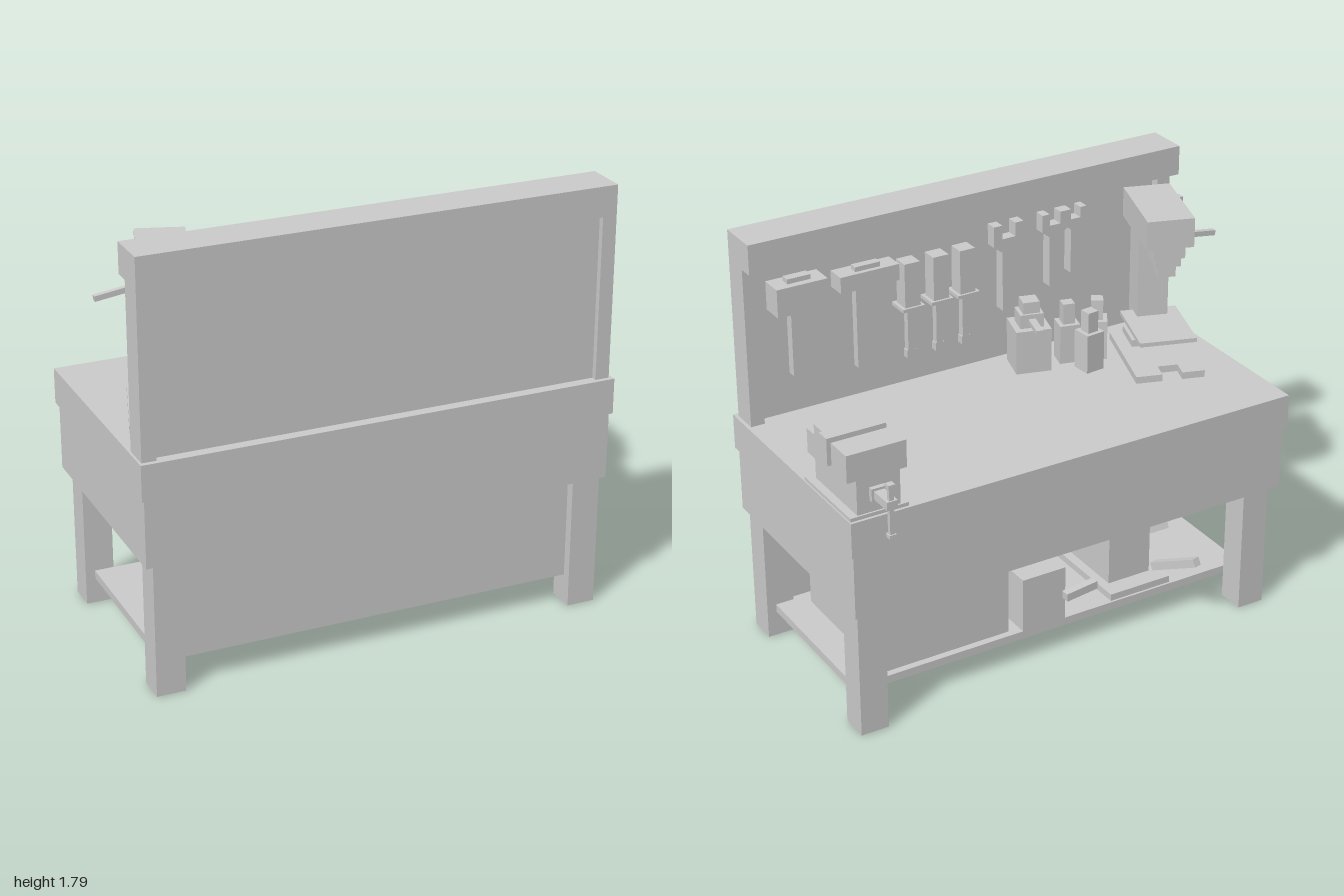
import * as THREE from 'three';

const MAT = new THREE.MeshStandardMaterial({ color: 0xcccccc, flatShading: true });

function add(parent, name, geometry) {
  const mesh = new THREE.Mesh(geometry, MAT);
  mesh.name = name;
  parent.add(mesh);
  return mesh;
}

// Box given by its limits on each axis
function box(parent, name, [x0, x1], [y0, y1], [z0, z1]) {
  const mesh = add(parent, name, new THREE.BoxGeometry(x1 - x0, y1 - y0, z1 - z0));
  mesh.position.set((x0 + x1) / 2, (y0 + y1) / 2, (z0 + z1) / 2);
  return mesh;
}

// Square bar between two points
function bar(parent, name, a, b, t) {
  const p = new THREE.Vector3(...a), q = new THREE.Vector3(...b);
  const mesh = add(parent, name, new THREE.BoxGeometry(t, t, p.distanceTo(q)));
  mesh.position.copy(p).add(q).multiplyScalar(0.5);
  mesh.lookAt(q);
  return mesh;
}

// Outline extruded along z
function plate(parent, name, points, depth) {
  const shape = new THREE.Shape(points.map(([x, y]) => new THREE.Vector2(x, y)));
  return add(parent, name, new THREE.ExtrudeGeometry(shape, { depth, bevelEnabled: false }));
}

function group(parent, name, x = 0, y = 0, z = 0, turn = 0) {
  const g = new THREE.Group();
  g.name = name;
  g.position.set(x, y, z);
  g.rotation.y = turn;
  parent.add(g);
  return g;
}

const TOP = 0.99, SHELF = 0.145;

function buildBench(root) {
  const g = group(root, 'bench');
  box(g, 'tableTop', [-1, 0.995], [0.84, TOP], [-0.455, 0.555]);
  box(g, 'apron', [-0.99, 0.98], [0.56, 0.84], [-0.435, 0.55]);
  for (const x of [-0.96, 0.835])
    for (const z of [-0.4, 0.42]) box(g, 'leg', [x, x + 0.12], [0, 0.56], [z, z + 0.12]);
  box(g, 'lowerShelf', [-0.92, 0.915], [0.11, SHELF], [-0.28, 0.44]);
  box(g, 'lowerPanel', [-0.84, 0.835], [0.125, 0.56], [0.44, 0.5]);
  // tool wall
  for (const x of [-0.99, 0.92]) box(g, 'wallPost', [x, x + 0.06], [TOP, 1.67], [0.42, 0.535]);
  box(g, 'wallPanel', [-0.93, 0.92], [TOP, 1.67], [0.46, 0.51]);
  box(g, 'topRail', [-0.99, 0.98], [1.67, 1.795], [0.355, 0.535]);
}

function buildVise(root) {
  const g = group(root, 'vise');
  box(g, 'viseBase', [0.745, 0.99], [TOP, 1.005], [-0.443, -0.07]);
  box(g, 'viseBody', [0.775, 0.957], [1.005, 1.15], [-0.435, -0.1]);
  box(g, 'viseAnvil', [0.775, 0.957], [1.15, 1.235], [-0.3, -0.1]);
  box(g, 'frontJaw', [0.745, 0.995], [1.15, 1.265], [-0.28, -0.22]);
  box(g, 'rearJaw', [0.745, 0.995], [1.15, 1.265], [-0.435, -0.315]);
  box(g, 'viseSlide', [0.82, 0.92], [1.04, 1.145], [-0.1, 0.04]);
  box(g, 'screwCollar', [0.84, 0.905], [1.055, 1.11], [-0.455, -0.435]);
  box(g, 'viseScrew', [0.85, 0.895], [1.065, 1.1], [-0.555, -0.455]);
  box(g, 'viseHandle', [0.863, 0.882], [0.945, 1.165], [-0.549, -0.531]);
  for (const y of [0.94, 1.15]) box(g, 'handleKnob', [0.858, 0.887], [y, y + 0.017], [-0.554, -0.526]);
}

function buildDrillPress(root) {
  const g = group(root, 'drillPress', -0.743, 0, 0.136, -0.32);
  // forked base plate
  const base = plate(g, 'drillBase', [[-0.145, -0.185], [0.145, -0.185], [0.145, 0.245],
    [0.035, 0.245], [0.035, 0.17], [-0.05, 0.17], [-0.05, 0.245], [-0.145, 0.245]], 0.03);
  base.rotation.x = -Math.PI / 2;
  base.position.y = TOP;
  box(g, 'columnFoot', [-0.09, 0.09], [1.02, 1.05], [0.03, 0.18]);
  box(g, 'drillColumn', [-0.065, 0.065], [1.02, 1.55], [0.05, 0.18]);
  box(g, 'drillTable', [-0.12, 0.12], [1.13, 1.148], [-0.2, 0.12]);
  box(g, 'drillHead', [-0.098, 0.098], [1.55, 1.675], [-0.187, 0.187]);
  // stepped spindle
  [[0.065, 1.5, 1.55], [0.052, 1.46, 1.5], [0.036, 1.41, 1.46], [0.01, 1.3, 1.41]].forEach(([r, y0, y1]) =>
    box(g, y0 < 1.35 ? 'drillBit' : 'spindle', [-r, r], [y0, y1], [-0.112 - r, -0.112 + r]));
  // feed lever
  box(g, 'leverHub', [-0.125, -0.095], [1.545, 1.59], [0.035, 0.085]);
  bar(g, 'feedLever', [-0.116, 1.41, -0.088], [-0.116, 1.62, 0.128], 0.022);
  bar(g, 'leverKnob', [-0.116, 1.61, 0.118], [-0.116, 1.635, 0.143], 0.034);
}

function buildBottles(root) {
  for (const [x, z, turn] of [[-0.535, 0.262, -0.55], [-0.41, 0.294, -0.25], [-0.444, 0.176, 0.1]]) {
    const g = group(root, 'bottle', x, TOP, z, turn);
    box(g, 'bottleBody', [-0.043, 0.043], [0, 0.17], [-0.043, 0.043]);
    box(g, 'bottleNeck', [-0.025, 0.025], [0.17, 0.26], [-0.025, 0.025]);
  }
  const can = group(root, 'oilCan', -0.245, TOP, 0.325, -0.27);
  box(can, 'canBody', [-0.075, 0.075], [0, 0.19], [-0.075, 0.075]);
  box(can, 'canShoulder', [-0.05, 0.05], [0.19, 0.25], [-0.045, 0.045]);
  box(can, 'canCap', [-0.035, 0.035], [0.25, 0.3], [-0.035, 0.035]);
  box(can, 'canSpout', [-0.015, 0.015], [0.21, 0.23], [-0.16, -0.04]);
}

function buildWallTools(root) {
  const hammer = group(root, 'hammer', 0.757);
  box(hammer, 'hammerHead', [-0.11, 0.11], [1.46, 1.58], [0.36, 0.46]);
  box(hammer, 'hammerHandle', [-0.04, 0.04], [1.18, 1.46], [0.39, 0.43]);
  box(hammer, 'hammerTop', [-0.05, 0.05], [1.58, 1.6], [0.39, 0.43]);
  const mallet = group(root, 'mallet', 0.455);
  box(mallet, 'malletHead', [-0.13, 0.13], [1.49, 1.56], [0.375, 0.46]);
  box(mallet, 'malletHandle', [-0.055, 0.055], [1.14, 1.49], [0.395, 0.43]);
  box(mallet, 'malletTop', [-0.055, 0.055], [1.56, 1.58], [0.395, 0.43]);
  for (const x of [0.267, 0.136, 0.014]) {
    const g = group(root, 'screwdriver', x);
    box(g, 'driverHandle', [-0.035, 0.035], [1.36, 1.55], [0.375, 0.445]);
    box(g, 'driverCollar', [-0.05, 0.05], [1.345, 1.36], [0.365, 0.46]);
    box(g, 'driverShaft', [-0.015, 0.015], [1.16, 1.345], [0.395, 0.425]);
    box(g, 'driverTip', [-0.02, 0.02], [1.125, 1.16], [0.395, 0.425]);
  }
  // open-ended wrenches, getting smaller
  for (const [x, s] of [[-0.2, 1], [-0.42, 0.85], [-0.52, 0.75]]) {
    const half = [[0.03, -0.38], [0.03, -0.12], [0.07, -0.09], [0.07, 0], [0.03, 0], [0.03, -0.06]];
    const outline = [...half, ...half.map(([a, b]) => [-a, b]).reverse()];
    const w = plate(root, 'wrench', outline, 0.05);
    w.scale.set(s, s, 1);
    w.position.set(x, 1.6, 0.41);
  }
}

function buildShelfItems(root) {
  const g = group(root, 'shelfItems');
  box(g, 'largeCrate', [0.2, 0.78], [SHELF, 0.45], [-0.25, 0.37]);
  box(g, 'smallCrate', [-0.05, 0.15], [SHELF, 0.385], [-0.28, 0.05]);
  box(g, 'crateGrip', [0.02, 0.08], [0.385, 0.41], [-0.16, -0.07]);
  bar(g, 'crateLever', [-0.03, 0.27, -0.31], [-0.18, 0.28, -0.3], 0.035);
  // machine with a lever on a base plate
  box(g, 'machineBase', [-0.57, -0.28], [SHELF, 0.175], [-0.27, 0.32]);
  box(g, 'machineBody', [-0.52, -0.32], [0.175, 0.53], [-0.19, 0.31]);
  bar(g, 'machineLever', [-0.54, 0.2, -0.2], [-0.6, 0.31, -0.42], 0.035);
  // leaning wedge-shaped can
  const wedge = plate(g, 'leaningCan', [[-0.1, 0], [0.12, 0], [0.2, 0.2], [0.16, 0.36], [0.06, 0.36]], 0.2);
  wedge.rotation.y = -Math.PI / 2;
  wedge.position.set(-0.62, SHELF, 0.2);
}

export function createModel() {
  const root = new THREE.Group();
  root.name = 'workbench';
  buildBench(root);
  buildVise(root);
  buildDrillPress(root);
  buildBottles(root);
  buildWallTools(root);
  buildShelfItems(root);
  return root;
}
